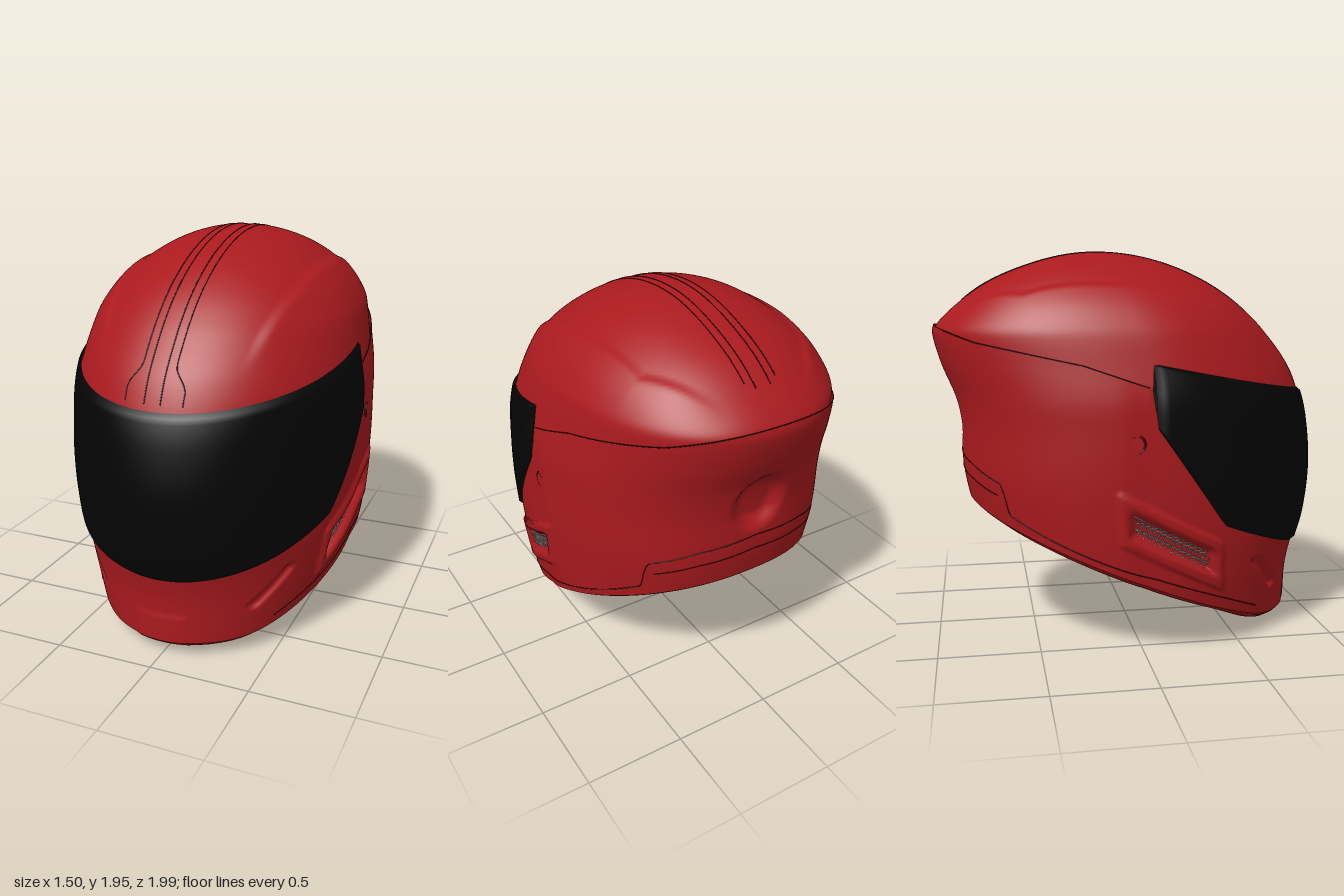
import * as THREE from 'three';
import { mergeVertices, mergeGeometries } from 'three/addons/utils/BufferGeometryUtils.js';

const TOP = 1.955;
const smooth = THREE.MathUtils.smoothstep;
const lerp = THREE.MathUtils.lerp;
const clamp = THREE.MathUtils.clamp;

// Horizontal sections: [height, half width, front z, back z]
const SECTIONS = [
  [TOP, 0, -0.15, -0.15], [1.9, 0.28, 0.2, -0.48], [1.8, 0.455, 0.43, -0.72], [1.7, 0.57, 0.58, -0.86],
  [1.6, 0.638, 0.69, -0.965], [1.55, 0.66, 0.735, -0.985], [1.4, 0.697, 0.85, -0.945], [1.25, 0.725, 0.92, -0.885],
  [1.1, 0.73, 0.96, -0.855], [0.85, 0.73, 0.983, -0.84], [0.6, 0.715, 0.96, -0.79], [0.42, 0.695, 0.91, -0.76],
  [0.3, 0.675, 0.887, -0.75], [0.1, 0.62, 0.878, -0.74], [-0.1, 0.55, 0.87, -0.73],
];
// Spacing by square root of depth keeps the crown round
const DEPTH = SECTIONS.map((s) => Math.sqrt(TOP - s[0]));
// The rear half is slightly squarer than an ellipse
const SQUARE = 0.88;
const RIDGE = [[-0.9, 0.2], [-0.55, 0.43], [-0.13, 0.47], [0.29, 0.45], [0.66, 0.37], [0.9, 0.3]];
const SEAM = [[-1, 1.59], [-0.78, 1.515], [-0.6, 1.48], [-0.3, 1.42], [0.03, 1.31]];

function along(table, t) {
  const i = clamp(table.findIndex((p) => p[0] >= t), 1, table.length - 1);
  const [a, b] = [table[i - 1], table[i]];
  return lerp(a[1], b[1], clamp((t - a[0]) / (b[0] - a[0]), 0, 1));
}

function section(y) {
  const u = Math.sqrt(Math.max(0, TOP - y)), n = DEPTH.length;
  let i = 0;
  while (i < n - 2 && DEPTH[i + 1] < u) i++;
  const h = DEPTH[i + 1] - DEPTH[i], t = clamp((u - DEPTH[i]) / h, 0, 1);
  const slope = (k, c) => {
    const lo = Math.max(0, k - 1), hi = Math.min(n - 1, k + 1);
    return (SECTIONS[hi][c] - SECTIONS[lo][c]) / (DEPTH[hi] - DEPTH[lo]);
  };
  const value = (c) => {
    const p = SECTIONS[i][c], q = SECTIONS[i + 1][c], m = slope(i, c) * h, k = slope(i + 1, c) * h;
    return p + t * (m + t * (3 * (q - p) - 2 * m - k + t * (2 * (p - q) + m + k)));
  };
  return { w: value(1), f: value(2), b: value(3), c: 0.03 - 0.18 * smooth(y, 1.3, TOP) };
}

// Vent frame coordinates on the cheek
const VENT = { z: 0.12, y: 0.575, shear: 0.6 };
function segmentDistance(z, y, a, b) {
  const dz = b[0] - a[0], dy = b[1] - a[1];
  const t = clamp(((z - a[0]) * dz + (y - a[1]) * dy) / (dz * dz + dy * dy), 0, 1);
  return Math.hypot(z - a[0] - t * dz, y - a[1] - t * dy);
}

// Sculpted relief: crown ridges, cheek vents, gills, rear dent, chin panel
function relief(x, y, z) {
  const ax = Math.abs(x);
  let d = 0;
  if (y > 1.35) {
    const r = ax - along(RIDGE, z);
    d += 0.017 * smooth(r, -0.015, 0.035) * Math.exp(-Math.max(0, r) * 8) * smooth(y, 1.4, 1.62) * smooth(z, -0.9, -0.65);
  }
  if (y < 0.95 && ax > 0.2) {
    const a = (y - VENT.y) * 0.47 - (z - VENT.z) * 0.88, b = (z - VENT.z) * 0.47 + (y - VENT.y) * 0.88;
    const e = Math.max(Math.abs(a - VENT.shear * b) - 0.23, Math.abs(b) - 0.05);
    d -= 0.035 * (1 - smooth(e, -0.02, 0.008));
    d += 0.014 * smooth(e, 0, 0.02) * (1 - smooth(e, 0.05, 0.07));
    d -= 0.018 * (1 - smooth(segmentDistance(z, y, [0.7, 0.27], [0.58, 0.43]), 0.005, 0.035));
  }
  if (z < -0.5) d -= 0.05 * (1 - smooth(Math.hypot(x, (y - 1.14) * 0.9), 0.08, 0.16));
  if (z > 0.6) d += 0.006 * (1 - smooth(ax, 0.12, 0.14)) * (1 - smooth(y, 0.2, 0.24));
  return d;
}

// Point on the helmet at an angle from the front (towards +x) and a height
function surface(angle, y, off = 0) {
  const s = section(y), sn = Math.sin(angle), cs = Math.cos(angle);
  const x = s.w * (cs > 0 ? sn : Math.sign(sn) * Math.abs(sn) ** SQUARE);
  const z = s.c + (cs > 0 ? cs * (s.f - s.c) : (-cs) ** SQUARE * (s.b - s.c));
  const d = off + relief(x, y, z), tilt = clamp((y - 1.3) / 0.65, 0, 1) * Math.PI / 2;
  return new THREE.Vector3(x + d * sn * Math.cos(tilt), y + d * Math.sin(tilt), z + d * cs * Math.cos(tilt));
}

function onSide(side, z, y, off) {
  const s = section(y);
  const k = z > s.c ? Math.min(1, (z - s.c) / (s.f - s.c)) : -(Math.min(1, (z - s.c) / (s.b - s.c)) ** (1 / SQUARE));
  return surface(side * Math.acos(k), y, off);
}

// Edge heights as rules of z
const visorTop = (z) => 1.25 + (0.93 - z) * 0.19;
const visorBottom = (z) => (z > 0.38 ? 0.42 + (0.92 - z) * 0.426 : 0.65 + (0.38 - z) * 1.43);
const seamHeight = (z) => along(SEAM, z);
const rimHeight = (z) => {
  const h = 0.295 - 0.43 * z;
  return 0.075 + (h + Math.sqrt(h * h + 0.002)) / 2;
};
function edge(angle, rule) {
  let y = 1;
  for (let i = 0; i < 14; i++) y = rule(surface(angle, y).z);
  return y;
}
const shellOffset = (angle) => 0.012 * smooth(-Math.cos(angle), 0, 0.15);

function patch(name, material, a0, a1, cols, rows, column) {
  const pos = [], idx = [];
  for (let i = 0; i <= cols; i++) {
    const point = column(lerp(a0, a1, i / cols), i);
    for (let j = 0; j <= rows; j++) {
      pos.push(...point(j / rows, j).toArray());
      if (i < cols && j < rows) {
        const p = i * (rows + 1) + j, q = p + rows + 1;
        idx.push(p, q, q + 1, p, q + 1, p + 1);
      }
    }
  }
  let g = new THREE.BufferGeometry();
  g.setAttribute('position', new THREE.Float32BufferAttribute(pos, 3));
  g.setIndex(idx);
  g = mergeVertices(g, 1e-5);
  g.computeVertexNormals();
  const mesh = new THREE.Mesh(g, material);
  mesh.name = name;
  return mesh;
}

// Column of points through three heights, with a share of the rows below the middle one
function rise(angle, low, mid, high, share, off) {
  const [a, b, c] = [low, mid, high].map((y) => Math.sqrt(Math.max(0, TOP - y)));
  return (v) => {
    const u = v < share ? lerp(a, b, v / share) : lerp(b, c, (v - share) / (1 - share));
    return surface(angle, TOP - u * u, off);
  };
}

export function createModel() {
  const group = new THREE.Group();
  const paint = (color) => new THREE.MeshStandardMaterial({ color, side: THREE.DoubleSide });
  const red = paint(0xaa1a1e), black = paint(0x040404), dark = paint(0x3a0808), grey = paint(0xcccccc);
  const COLS = 300, start = Math.PI / COLS, end = start + Math.PI * 2;
  const isFront = (a) => Math.cos(a) > 0;

  // Crown, from visor and rear seam up to the top
  group.add(patch('crown', red, start, end, COLS, 60, (angle) => {
    const low = isFront(angle) ? edge(angle, visorTop) : edge(angle, seamHeight) - 0.03;
    return rise(angle, low, isFront(angle) ? low + 0.03 : Math.max(low + 0.03, 1.45), TOP, 0.1, 0);
  }));

  // Lower shell, from the rim up to visor and seam
  group.add(patch('lowerShell', red, start, end, COLS, 76, (angle) => {
    const low = edge(angle, rimHeight), high = edge(angle, isFront(angle) ? visorBottom : seamHeight);
    return rise(angle, low, isFront(angle) ? lerp(low, high, 0.9) : 1.07, high, 0.75, shellOffset(angle));
  }));

  // Rolled neck rim: [scale towards the middle, drop]
  const LIP = [[0.88, 2.5], [0.8, 0.8], [0.79, -0.3], [0.81, -0.85], [0.84, -1], [0.91, -0.7], [0.975, -0.25], [1, 0]];
  group.add(patch('neckRim', red, start, end, COLS, LIP.length - 1, (angle) => {
    const p = surface(angle, edge(angle, rimHeight), shellOffset(angle));
    const front = smooth(Math.cos(angle), 0.4, 1), drop = lerp(0.04, 0.085, front);
    return (v, j) => {
      const [inset, d] = LIP[j], k = 1 - (1 - inset) * lerp(0.82, 1, front), z = 0.03 + (p.z - 0.03) * k;
      return new THREE.Vector3(p.x * k, p.y + rimHeight(z) - rimHeight(p.z) + d * drop, z);
    };
  }));

  // Visor with folded edges
  group.add(patch('visor', black, -Math.PI / 2, Math.PI / 2, 96, 32, (angle, i) => {
    const low = edge(angle, visorBottom) - 0.008, high = edge(angle, visorTop) + 0.008;
    return (v, j) => {
      const folded = i === 0 || i === 96 || j === 0 || j === 32;
      return surface(angle, lerp(low, high, v), folded ? -0.006 : 0.017);
    };
  }));

  const line = (name, points) => {
    const mesh = new THREE.Mesh(
      new THREE.TubeGeometry(new THREE.CatmullRomCurve3(points), points.length * 2, 0.0028, 4), dark);
    mesh.name = name;
    group.add(mesh);
  };

  for (const side of [1, -1]) {
    // Grooves running over the crown, the outer pair flaring at the brow
    for (const [k, flare, last] of [[0.04, 0, 0.49], [0.082, 0.06, 0.47]]) {
      const pts = [], first = k / 1.18;
      for (let i = 0; i <= 80; i++) {
        const back = i > 40, u = back ? lerp(first, last, (i - 40) / 40) : lerp(0.82, first, i / 40);
        const y = TOP - u * u, x = k + (back ? 0 : flare * (1 - smooth(y, 1.34, 1.45)));
        const ratio = Math.min(1, x / section(y).w);
        const p = surface(back ? Math.PI - Math.asin(ratio ** (1 / SQUARE)) : Math.asin(ratio), y);
        pts.push(p.setX(side * x));
      }
      line('crownGroove', pts);
    }

    // Seam between crown and lower shell
    const seam = [];
    for (let i = 0; i <= 60; i++) {
      const a = lerp(Math.PI / 2 + 0.02, Math.PI, i / 60);
      seam.push(surface(side * a, edge(a, seamHeight), shellOffset(a) - 0.001));
    }
    line('shellSeam', seam);

    // Skirt lines around the lower edge: [degrees from front, height]
    for (const path of [
      [[48, 0.17], [90, 0.41], [134, 0.67], [139, 0.7], [141, 0.85], [160, 0.92], [180, 0.95]],
      [[144, 0.79], [160, 0.84], [180, 0.87]],
    ]) {
      const pts = [];
      for (let i = 0; i <= 90; i++) {
        const a = lerp(path[0][0], 180, i / 90), angle = THREE.MathUtils.degToRad(a);
        pts.push(surface(side * angle, along(path, a), shellOffset(angle)));
      }
      line('skirtLine', pts);
    }

    // Transform that lays a part flat on the side at a given z and height
    const place = (z, y, off) => {
      const p = onSide(side, z, y, off), e = 0.03;
      const dz = onSide(side, z + e, y, off).sub(p), dy = onSide(side, z, y + e, off).sub(p);
      const holder = new THREE.Object3D();
      holder.position.copy(p);
      holder.lookAt(dy.cross(dz).multiplyScalar(side).normalize().add(p));
      holder.updateMatrix();
      return holder.matrix;
    };

    // Honeycomb mesh in the cheek vent
    const cells = [];
    for (let r = -1; r <= 1; r++) {
      for (let c = -6; c <= 6; c++) {
        const b = r * 0.029, a = c * 0.033 + (r & 1 ? 0.0165 : 0) + b * VENT.shear;
        const z = VENT.z - 0.88 * a + 0.47 * b, y = VENT.y + 0.47 * a + 0.88 * b;
        const cell = new THREE.TorusGeometry(0.019, 0.003, 4, 6).rotateZ(Math.PI / 6 + 0.49 * side);
        cells.push(cell.applyMatrix4(place(z, y, 0.012)));
      }
    }
    const mesh = new THREE.Mesh(mergeGeometries(cells), grey);
    mesh.name = 'ventMesh';
    group.add(mesh);

    // Visor pivot
    const pivot = place(-0.065, 1.065, 0.002);
    for (const [name, g, m] of [
      ['pivotRing', new THREE.TorusGeometry(0.042, 0.004, 6, 32), dark],
      ['pivotCap', new THREE.CylinderGeometry(0.034, 0.036, 0.014, 32).rotateX(Math.PI / 2), red],
    ]) {
      const part = new THREE.Mesh(g.applyMatrix4(pivot), m);
      part.name = name;
      group.add(part);
    }
  }
  return group;
}
